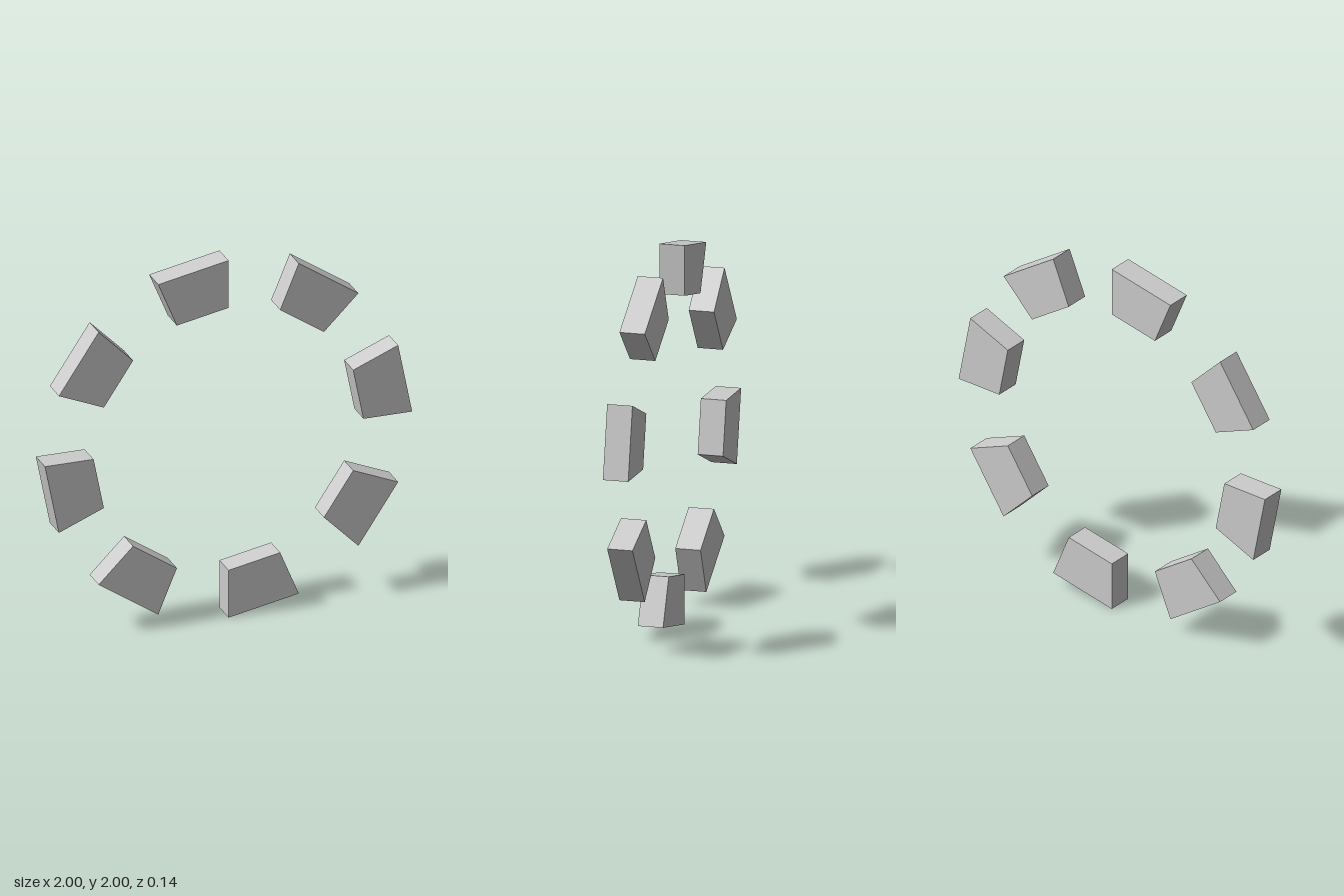
import * as THREE from 'three';

const SIDES = 16;     // corners of the full ring
const OUTER = 1;
const INNER = 0.735;
const DEPTH = 0.135;

export function createModel() {
  const group = new THREE.Group();
  group.name = 'segmentedRing';
  const grey = new THREE.MeshStandardMaterial({ color: 0xcccccc });
  grey.name = 'light grey';

  // One straight-sided ring segment, starting on the +x axis
  const step = (Math.PI * 2) / SIDES;
  const c = Math.cos(step), s = Math.sin(step);
  const outline = new THREE.Shape([
    new THREE.Vector2(INNER, 0),
    new THREE.Vector2(OUTER, 0),
    new THREE.Vector2(OUTER * c, OUTER * s),
    new THREE.Vector2(INNER * c, INNER * s),
  ]);
  const geometry = new THREE.ExtrudeGeometry(outline, { depth: DEPTH, bevelEnabled: false });
  geometry.translate(0, 0, -DEPTH / 2);

  // Every other segment of the ring is present
  for (let i = 0; i < SIDES; i += 2) {
    const segment = new THREE.Mesh(geometry, grey);
    segment.name = `ringSegment${i / 2 + 1}`;
    segment.position.y = OUTER;
    segment.rotation.z = i * step;
    group.add(segment);
  }
  return group;
}
